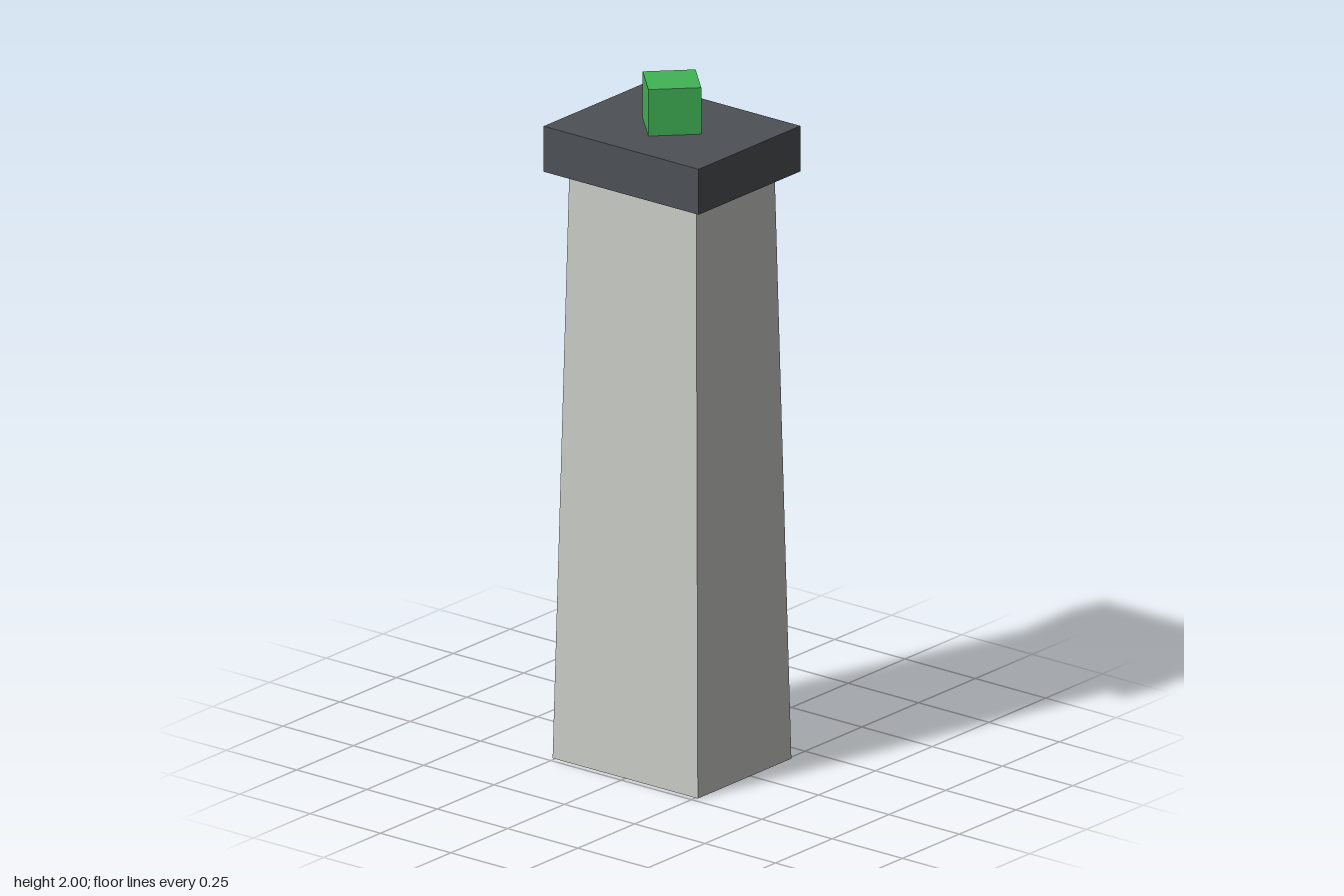
import * as THREE from 'three';

const AXIS_X = -0.026; // the tower axis sits off centre because of the side block

function material(name, color) {
  const m = new THREE.MeshStandardMaterial({ color });
  m.name = name;
  return m;
}

// Box standing on a given height
function block(name, mat, [w, h, d], x, bottom) {
  const mesh = new THREE.Mesh(new THREE.BoxGeometry(w, h, d), mat);
  mesh.name = name;
  mesh.position.set(x, bottom + h / 2, 0);
  return mesh;
}

// Narrow the top of a box to the given width and depth
function taper(mesh, topWidth, topDepth) {
  const { width, depth } = mesh.geometry.parameters;
  const p = mesh.geometry.attributes.position;
  for (let i = 0; i < p.count; i++) {
    if (p.getY(i) > 0) {
      p.setX(i, p.getX(i) * topWidth / width);
      p.setZ(i, p.getZ(i) * topDepth / depth);
    }
  }
  mesh.geometry.computeVertexNormals();
}

export function createModel() {
  const stone = material('pale stone', 0xc8cac6);
  const slate = material('dark slate', 0x4d5055);
  const grey = material('mid grey', 0xa0a4a5);
  const green = material('green', 0x40b455);

  const model = new THREE.Group();
  model.name = 'tower';

  // Tapered shaft
  const shaft = block('shaft', stone, [0.412, 1.73, 0.516], AXIS_X, 0);
  taper(shaft, 0.345, 0.451);

  // Overhanging cap slab
  const cap = block('cap', slate, [0.448, 0.134, 0.551], AXIS_X, 1.729);

  // Lantern cube turned corner-on
  const side = 0.104 * Math.SQRT2;
  const lantern = block('lantern', green, [side, 0.138, side], AXIS_X, 1.862);
  lantern.rotation.y = Math.PI / 4;

  // Small block projecting from the left wall
  const sideBlock = block('sideBlock', grey, [0.138, 0.136, 0.138], 0.181, 0.523);

  model.add(shaft, cap, lantern, sideBlock);
  return model;
}
